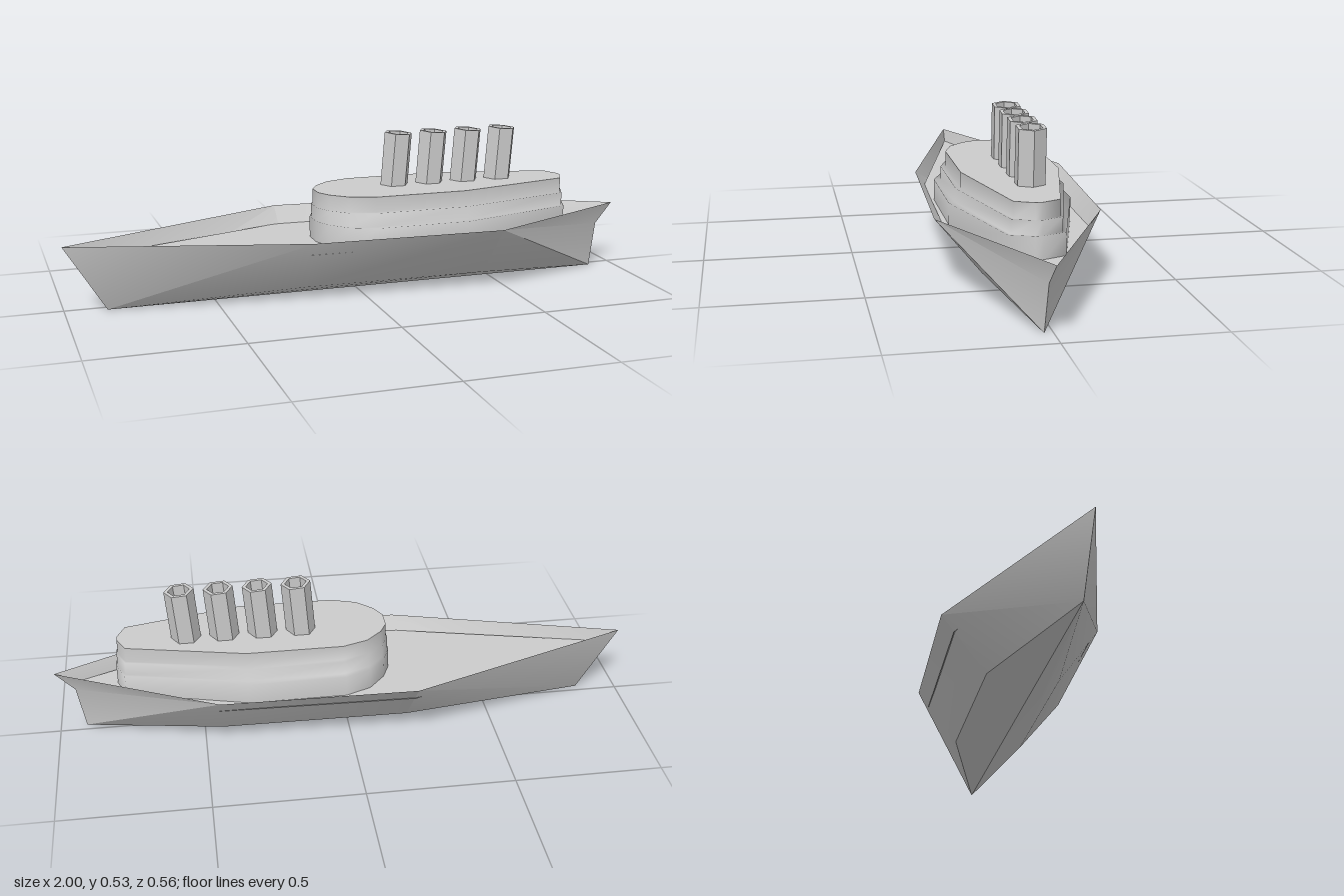
import * as THREE from 'three';
import { toCreasedNormals } from 'three/addons/utils/BufferGeometryUtils.js';

const material = new THREE.MeshStandardMaterial({ color: 0xcccccc, side: THREE.DoubleSide });

function addMesh(parent, name, geometry, mat = material) {
  const mesh = new THREE.Mesh(geometry, mat);
  mesh.name = name;
  parent.add(mesh);
  return mesh;
}

function indexed(points, index) {
  const g = new THREE.BufferGeometry();
  g.setAttribute('position', new THREE.Float32BufferAttribute(points.flat(), 3));
  g.setIndex(index);
  g.computeVertexNormals();
  return g;
}

// Flat horizontal plate from [x, z] corners
function plate(corners, y) {
  const shape = new THREE.Shape(corners.map(([x, z]) => new THREE.Vector2(x, -z)));
  return new THREE.ShapeGeometry(shape).rotateX(-Math.PI / 2).translate(0, y, 0);
}

function hullGeometry() {
  const points = [
    [-1, 0.225, 0.03], [-0.86, 0, 0.027],                       // 0-1 stem top and foot
    [1, 0.227, 0.013], [0.935, 0.155, 0.02], [0.91, 0, 0.027],  // 2-4 stern top, notch, foot
    [-0.21, 0.227, 0.25], [0.45, 0.227, 0.275],                 // 5-6 left rim
    [-0.2, 0.042, 0.118], [0.44, 0.04, 0.123],                  // 7-8 left chine
    [-0.21, 0.238, -0.28], [0.45, 0.232, -0.26],                // 9-10 right rim
    [-0.2, 0.045, -0.125], [0.44, 0.045, -0.118],               // 11-12 right chine
  ];
  const side = [
    [0, 1, 5], [1, 7, 5], [7, 8, 6], [7, 6, 5], [8, 4, 6],
    [4, 3, 6], [3, 2, 6], [1, 4, 8], [1, 8, 7],
  ];
  const index = [];
  for (const [a, b, c] of side) {
    const other = (i) => (i > 4 ? i + 4 : i);
    index.push(a, b, c, other(a), other(c), other(b));
  }
  return toCreasedNormals(indexed(points, index), 0.5);
}

// Plan of the deckhouse, widened step by step towards the bottom
function houseOutline(halfWidth, grow) {
  const half = [
    [-0.14, 0.2], [-0.115, 0.5], [-0.06, 0.82], [0.025, 1],
    [0.35, 1], [0.75, 0.44], [0.778, 0.06],
  ].map(([x, w]) => [0.32 + (x - 0.32) * (1 + grow), w * halfWidth]);
  const left = half.map(([x, w]) => [x, 0.015 + w]);
  const right = half.map(([x, w]) => [x, 0.015 - w]).reverse();
  return [...left, ...right];
}

function houseWalls() {
  const levels = [
    [0.175, 0.2, 0.02], [0.252, 0.2, 0.02],
    [0.252, 0.177, 0.01], [0.298, 0.177, 0.01],
    [0.298, 0.16, 0], [0.35, 0.16, 0],
  ];
  const points = [];
  const index = [];
  for (const [y, w, grow] of levels) {
    for (const [x, z] of houseOutline(w, grow)) points.push([x, y, z]);
  }
  const n = points.length / levels.length;
  for (let r = 0; r < levels.length - 1; r++) {
    for (let i = 0; i < n; i++) {
      const a = r * n + i;
      const b = r * n + ((i + 1) % n);
      index.push(a, b, b + n, a, b + n, a + n);
    }
  }
  return indexed(points, index);
}

export function createModel() {
  const ship = new THREE.Group();
  ship.name = 'ship';

  addMesh(ship, 'hull', hullGeometry());

  // Deck sunk slightly below the rim
  addMesh(ship, 'deck', plate([
    [-0.97, 0.03], [-0.21, 0.218], [0.45, 0.237],
    [0.955, 0.017], [0.45, -0.222], [-0.21, -0.237],
  ], 0.18));

  // Three-tier deckhouse
  const house = new THREE.Group();
  house.name = 'deckhouse';
  addMesh(house, 'deckhouseWalls', houseWalls());
  addMesh(house, 'deckhouseRoof', plate(houseOutline(0.16, 0), 0.35));
  ship.add(house);

  // Four raked, hollow six-sided funnels
  const funnelMaterial = new THREE.MeshStandardMaterial({
    color: 0xcccccc, flatShading: true, side: THREE.DoubleSide,
  });
  const profile = [[0.05, -0.02], [0.05, 0.181], [0.037, 0.181], [0.037, 0.01], [0, 0.01]]
    .map(([r, y]) => new THREE.Vector2(r, y));
  const funnelGeometry = new THREE.LatheGeometry(profile, 6, Math.PI / 2);
  for (let i = 0; i < 4; i++) {
    const funnel = addMesh(ship, 'funnel' + (i + 1), funnelGeometry, funnelMaterial);
    funnel.position.set(0.154 + 0.13 * i, 0.35, -0.008);
    funnel.rotation.z = -0.08;
  }
  return ship;
}
